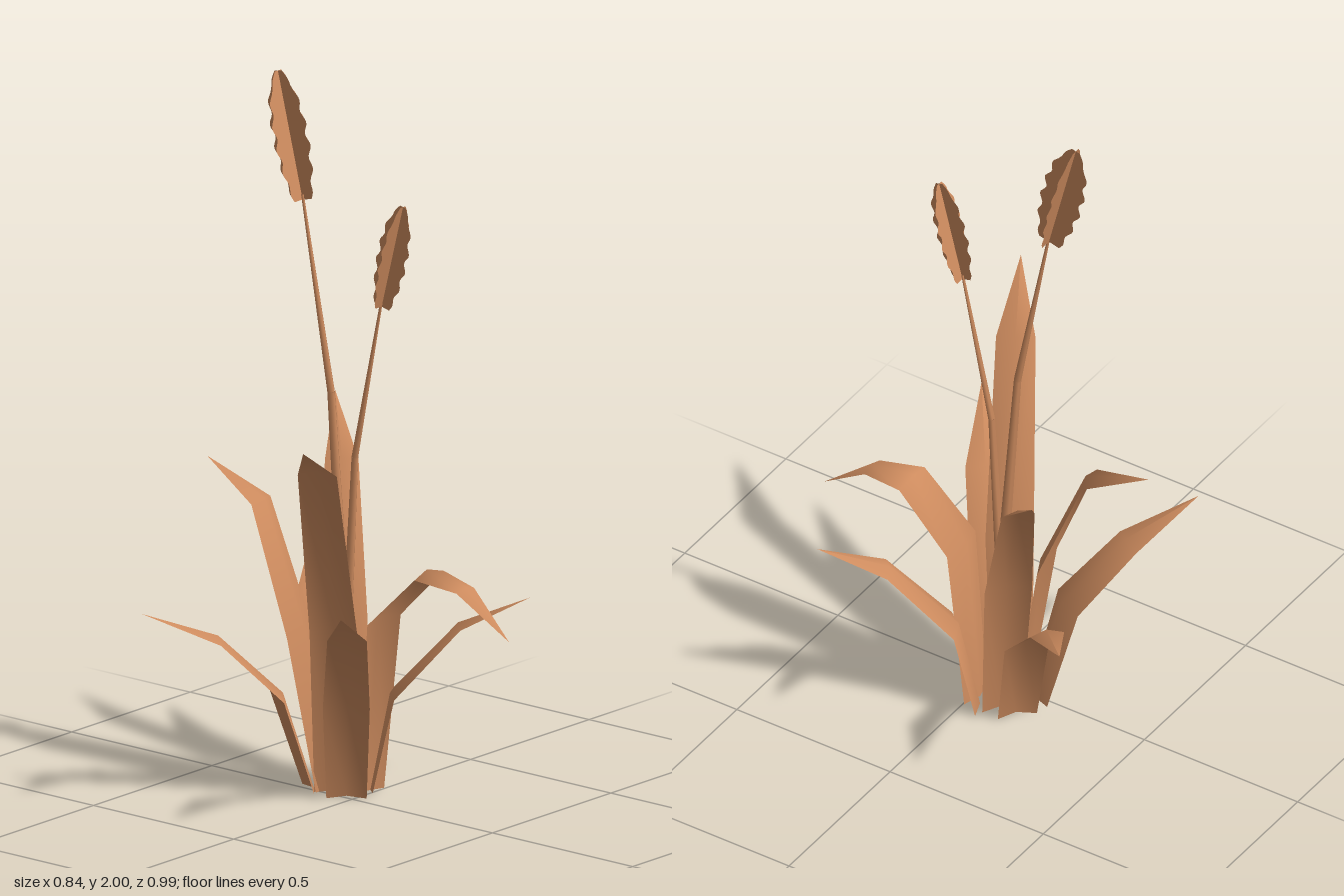
import * as THREE from 'three';

const dryStraw = new THREE.MeshStandardMaterial({ color: 0xcd8b5e, side: THREE.DoubleSide });
dryStraw.name = 'dryStraw';
const UP = new THREE.Vector3(0, 1, 0);

// Folded leaf blade: sections are [x, y, z, halfWidth] from the base to the tip
function makeLeaf(name, sections) {
  const pts = sections.map(([x, y, z]) => new THREE.Vector3(x, y, z));
  const last = pts.length - 1;
  const out = pts[last].clone().sub(pts[0]).setY(0).normalize();
  const side = new THREE.Vector3().crossVectors(UP, out);
  const positions = [];
  const index = [];
  pts.forEach((p, i) => {
    const half = sections[i][3];
    const along = pts[Math.min(i + 1, last)].clone().sub(pts[Math.max(i - 1, 0)]).normalize();
    const normal = along.cross(side).normalize();
    for (const k of [-1, 0, 1]) {
      const v = p.clone().addScaledVector(side, k * half);
      v.addScaledVector(normal, (k === 0 ? 0.2 : -0.1) * half); // raised midrib
      positions.push(v.x, Math.max(0, v.y), v.z);
    }
    if (i < last) {
      for (let c = 0; c < 2; c++) {
        const a = i * 3 + c;
        index.push(a, a + 3, a + 1, a + 1, a + 3, a + 4);
      }
    }
  });
  const geo = new THREE.BufferGeometry();
  geo.setAttribute('position', new THREE.Float32BufferAttribute(positions, 3));
  geo.setIndex(index);
  geo.computeVertexNormals();
  const mesh = new THREE.Mesh(geo, dryStraw);
  mesh.name = name;
  return mesh;
}

// Thin tapering stalk through [x, y, z, radius] points
function makeStalk(name, path) {
  const group = new THREE.Group();
  group.name = name;
  for (let i = 0; i < path.length - 1; i++) {
    const a = new THREE.Vector3(...path[i].slice(0, 3));
    const b = new THREE.Vector3(...path[i + 1].slice(0, 3));
    const geo = new THREE.CylinderGeometry(path[i + 1][3], path[i][3], a.distanceTo(b), 5, 1, true);
    const mesh = new THREE.Mesh(geo, dryStraw);
    mesh.name = 'stalkSegment';
    mesh.position.copy(a).add(b).multiplyScalar(0.5);
    mesh.quaternion.setFromUnitVectors(UP, b.sub(a).normalize());
    group.add(mesh);
  }
  return group;
}

// Seed head: two crossed flat plates with a scalloped outline
function makeSeedHead(name, base, tip, halfWidth) {
  const dy = tip[1] - base[1];
  const dz = tip[2] - base[2];
  const length = Math.hypot(dy, dz);
  const envelope = [0.5, 0.72, 0.86, 0.92, 0.92, 0.86, 0.66, 0.2];
  const right = [];
  const steps = 42;
  for (let i = 0; i <= steps; i++) {
    const t = i / steps;
    const e = t * (envelope.length - 1);
    const k = Math.min(Math.floor(e), envelope.length - 2);
    const w = THREE.MathUtils.lerp(envelope[k], envelope[k + 1], e - k);
    const bump = 1 + 0.11 * Math.sin(t * Math.PI * 2 * 5.5);
    right.push(new THREE.Vector2(halfWidth * w * bump, t * length));
  }
  const left = right.map((p) => new THREE.Vector2(-p.x, p.y)).reverse();
  const geo = new THREE.ShapeGeometry(new THREE.Shape([...right, ...left]));
  const group = new THREE.Group();
  group.name = name;
  for (const turn of [0, Math.PI / 2]) {
    const plate = new THREE.Mesh(geo, dryStraw);
    plate.name = 'seedPlate';
    plate.rotation.y = turn;
    group.add(plate);
  }
  group.position.set(...base);
  group.rotation.x = Math.atan2(dz, dy);
  return group;
}

export function createModel() {
  const model = new THREE.Group();
  model.name = 'driedGrassPlant';

  // Blades around the clump
  const leaves = {
    frontDroopingLeaf: [[0.085, 0, -0.01, 0.055], [0.085, 0.5, 0.035, 0.07], [0.085, 0.66, 0.2, 0.062],
      [0.083, 0.64, 0.335, 0.037], [0.083, 0.52, 0.49, 0]],
    frontLeftLeaf: [[0.12, 0, -0.03, 0.055], [0.15, 0.27, 0.02, 0.062], [0.255, 0.47, 0.17, 0.046], [0.375, 0.55, 0.32, 0]],
    frontRightLeaf: [[0, 0, -0.02, 0.055], [-0.06, 0.28, 0.03, 0.064], [-0.205, 0.53, 0.155, 0.054], [-0.385, 0.65, 0.285, 0]],
    tallRightLeaf: [[0.02, 0, -0.08, 0.055], [-0.03, 0.47, -0.04, 0.066], [-0.235, 0.99, 0.075, 0.054], [-0.42, 1.11, 0.18, 0]],
    backRightLeaf: [[0, 0, -0.15, 0.055], [-0.09, 0.28, -0.185, 0.066], [-0.225, 0.45, -0.295, 0.054], [-0.405, 0.54, -0.41, 0]],
    tallBackLeaf: [[0.04, 0, -0.12, 0.055], [-0.03, 0.45, -0.155, 0.066], [-0.025, 0.8, -0.3, 0.05], [-0.02, 0.885, -0.5, 0]],
    backLeftLeaf: [[0.1, 0, -0.15, 0.055], [0.13, 0.28, -0.2, 0.062], [0.255, 0.47, -0.35, 0.048], [0.42, 0.56, -0.5, 0]],
    tallLeftLeaf: [[0.1, 0, -0.1, 0.055], [0.13, 0.45, -0.14, 0.066], [0.27, 0.855, -0.265, 0.046], [0.39, 1.0, -0.39, 0]],
  };
  for (const [name, sections] of Object.entries(leaves)) model.add(makeLeaf(name, sections));

  // Two flowering stalks with seed heads
  model.add(
    makeStalk('tallStalk', [[0.06, 0, -0.075, 0.02], [0.06, 0.6, -0.085, 0.016], [0.06, 1.12, -0.125, 0.011], [0.063, 1.66, -0.23, 0.004]]),
    makeSeedHead('tallSeedHead', [0.063, 1.645, -0.23], [0.063, 1.995, -0.318], 0.066),
    makeStalk('shortStalk', [[0.06, 0, -0.065, 0.018], [0.06, 0.5, -0.065, 0.014], [0.06, 0.95, -0.04, 0.01], [0.063, 1.41, 0.052, 0.004]]),
    makeSeedHead('shortSeedHead', [0.063, 1.395, 0.052], [0.063, 1.692, 0.128], 0.053),
  );
  return model;
}
